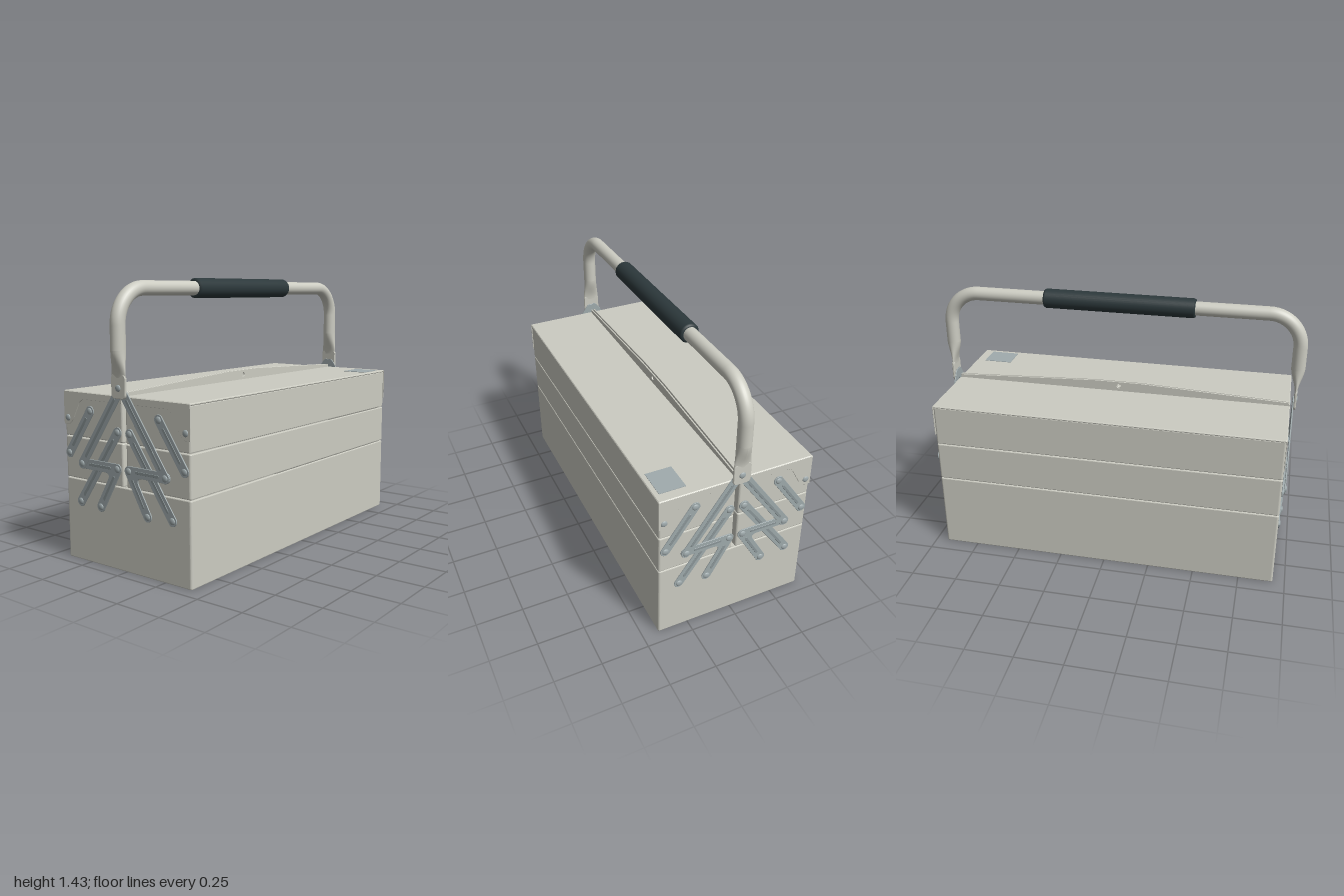
import * as THREE from 'three';

const mat = (color) => new THREE.MeshStandardMaterial({ color });
const paint = mat(0xccccc2), steel = mat(0xa0abad), rubber = mat(0x2c383b), dark = mat(0x8b9698);

function add(parent, name, geometry, material, x = 0, y = 0, z = 0) {
  const m = new THREE.Mesh(geometry, material);
  m.name = name;
  m.position.set(x, y, z);
  parent.add(m);
  return m;
}

function roundedRect(x0, x1, y0, y1, r) {
  const s = new THREE.Shape();
  s.absarc(x1 - r, y1 - r, r, 0, Math.PI / 2);
  s.absarc(x0 + r, y1 - r, r, Math.PI / 2, Math.PI);
  s.absarc(x0 + r, y0 + r, r, Math.PI, Math.PI * 1.5);
  s.absarc(x1 - r, y0 + r, r, Math.PI * 1.5, Math.PI * 2);
  s.closePath();
  return s;
}

// Sheet-metal plate, bevelled on both faces, from z = 0 to z = t
function plate(shape, t, bevel = 0.001) {
  const g = new THREE.ExtrudeGeometry(shape, {
    depth: t - 2 * bevel, bevelThickness: bevel, bevelSize: bevel, bevelOffset: -bevel,
    bevelSegments: 1, curveSegments: 10,
  });
  return g.translate(0, 0, bevel);
}

const mirrored = (shape, side) =>
  new THREE.Shape(shape.getPoints(10).map((p) => new THREE.Vector2(p.x * side, p.y)));

// Capsule outline around the line from a to b
function capsule(a, b, r) {
  const t = Math.atan2(b[1] - a[1], b[0] - a[0]);
  const s = new THREE.Shape();
  s.absarc(b[0], b[1], r, t - Math.PI / 2, t + Math.PI / 2);
  s.absarc(a[0], a[1], r, t + Math.PI / 2, t + Math.PI * 1.5);
  s.closePath();
  return s;
}

// Open tray: rounded wall ring plus a floor
function tray(parent, name, x0, x1, y0, y1) {
  const g = new THREE.Group();
  g.name = name;
  const D = 0.936, w = 0.012, b = 0.005;
  const ring = roundedRect(x0, x1, -D, D, 0.012);
  ring.holes.push(roundedRect(x0 + w, x1 - w, -D + w, D - w, 0.004));
  const wall = new THREE.ExtrudeGeometry(ring, {
    depth: y1 - y0 - 2 * b, bevelThickness: b, bevelSize: b, bevelOffset: -b, bevelSegments: 2, curveSegments: 5,
  });
  add(g, name + 'Wall', wall.rotateX(-Math.PI / 2), paint, 0, y0 + b, 0);
  add(g, name + 'Floor', new THREE.BoxGeometry(x1 - x0 - 0.016, 0.01, 2 * D - 0.016), paint, (x0 + x1) / 2, y0 + 0.006, 0);
  parent.add(g);
}

function rivet(parent, x, y, z, r = 0.017) {
  const g = new THREE.SphereGeometry(r, 16, 6, 0, Math.PI * 2, 0, Math.PI / 2);
  add(parent, 'rivet', g.scale(1, 0.4, 1).rotateX(Math.PI / 2), steel, x, y, z);
}

// Raised stiffening rib, shortened at both ends
function rib(parent, a, b, z, side, cut = 0.05) {
  const d = new THREE.Vector2(b[0] - a[0], b[1] - a[1]).setLength(cut);
  const s = capsule([a[0] + d.x, a[1] + d.y], [b[0] - d.x, b[1] - d.y], 0.007);
  add(parent, 'linkRib', plate(mirrored(s, side), 0.003), dark, 0, 0, z);
}

function link(parent, name, a, b, z, side) {
  add(parent, name, plate(mirrored(capsule(a, b, 0.026), side), 0.006), steel, 0, 0, z);
  rib(parent, a, b, z + 0.005, side);
  for (const p of [a, b]) rivet(parent, p[0] * side, p[1], z + 0.006);
}

// Branched lever joining the long arm, middle tray and base
function crankShape() {
  const r = 0.026, s = new THREE.Shape(), rad = Math.PI / 180;
  s.absarc(0.276, 0.51, r, -90 * rad, 90 * rad);
  s.absarc(0.038, 0.51, r, 90 * rad, 210 * rad);
  s.absarc(0.156, 0.306, r, 210 * rad, 390 * rad);
  s.lineTo(0.103, 0.45);
  s.quadraticCurveTo(0.084, 0.484, 0.125, 0.484);
  s.closePath();
  return s;
}

// Skirt of the lid over the tray end
function flapShape() {
  const s = new THREE.Shape();
  s.moveTo(0.01, 0.864);
  s.lineTo(0.01, 0.83);
  s.lineTo(0.265, 0.83);
  s.quadraticCurveTo(0.295, 0.83, 0.31, 0.8);
  s.lineTo(0.345, 0.735);
  s.quadraticCurveTo(0.365, 0.7, 0.39, 0.695);
  s.lineTo(0.417, 0.695);
  s.lineTo(0.417, 0.864);
  s.closePath();
  return s;
}

// Everything mounted on one end, facing +z
function buildEnd() {
  const end = new THREE.Group();
  end.name = 'endLinkage';
  for (const side of [1, -1]) {
    add(end, 'lidFlap', plate(mirrored(flapShape(), side), 0.005), paint, 0, 0, 0.935);
    rivet(end, 0.389 * side, 0.73, 0.94);
    link(end, 'outerLink', [0.228, 0.775], [0.382, 0.552], 0.937, side);
    link(end, 'innerLink', [0.04, 0.688], [0.306, 0.31], 0.937, side);
    add(end, 'crankLever', plate(mirrored(crankShape(), side), 0.006), steel, 0, 0, 0.944);
    rib(end, [0.038, 0.51], [0.276, 0.51], 0.949, side);
    rib(end, [0.038, 0.51], [0.156, 0.306], 0.949, side);
    rivet(end, 0.038 * side, 0.51, 0.95);
    rivet(end, 0.156 * side, 0.306, 0.95);
    link(end, 'longArm', [0.012, 0.89], [0.276, 0.51], 0.951, side);
  }
  // Handle tube pressed flat towards its foot
  const foot = new THREE.CylinderGeometry(0.037, 0.037, 0.14, 28, 10, true);
  const p = foot.attributes.position;
  for (let i = 0; i < p.count; i++) {
    const k = THREE.MathUtils.smoothstep(0.07 - p.getY(i), 0, 0.14);
    p.setX(i, p.getX(i) * (1 + 0.25 * k));
    p.setZ(i, p.getZ(i) * (1 - 0.82 * k));
  }
  foot.computeVertexNormals();
  add(end, 'handleNeck', foot, paint, 0, 1.02, 0.963);
  add(end, 'handleFoot', plate(roundedRect(-0.047, 0.047, 0.857, 0.975, 0.022), 0.013, 0.003), paint, 0, 0, 0.957);
  rivet(end, 0, 0.908, 0.97);
  return end;
}

function buildHandle(parent) {
  const v = (y, z) => new THREE.Vector3(0, y, z);
  const L = 0.963, T = 1.375, R = 0.17, c = R * 0.45;
  const path = new THREE.CurvePath();
  path.add(new THREE.LineCurve3(v(1.085, L), v(T - R, L)));
  path.add(new THREE.CubicBezierCurve3(v(T - R, L), v(T - c, L), v(T, L - c), v(T, L - R)));
  path.add(new THREE.LineCurve3(v(T, L - R), v(T, R - L)));
  path.add(new THREE.CubicBezierCurve3(v(T, R - L), v(T, c - L), v(T - c, -L), v(T - R, -L)));
  path.add(new THREE.LineCurve3(v(T - R, -L), v(1.085, -L)));
  add(parent, 'handleTube', new THREE.TubeGeometry(path, 140, 0.037, 28), paint);
  const profile = [[0.036, -0.41], [0.047, -0.41], [0.052, -0.4], [0.052, 0.4], [0.047, 0.41], [0.036, 0.41]];
  const grip = new THREE.LatheGeometry(profile.map((q) => new THREE.Vector2(...q)), 32);
  add(parent, 'grip', grip.rotateX(Math.PI / 2), rubber, 0, T, 0);
}

// Lid half: flat panel and the upright centre flange with its lock hole
function buildLid(parent, side) {
  const lid = new THREE.Group();
  lid.name = side > 0 ? 'leftLid' : 'rightLid';
  const panel = plate(roundedRect(-0.204, 0.204, -0.939, 0.939, 0.008), 0.012, 0.004);
  add(lid, 'lidPanel', panel.rotateX(-Math.PI / 2), paint, side * 0.213, 0.855, 0);
  const f = new THREE.Shape();
  [[-0.935, 0.858], [0.935, 0.858], [0.935, 0.884], [0.13, 0.92], [-0.13, 0.92], [-0.935, 0.884]]
    .forEach((q, i) => (i ? f.lineTo(...q) : f.moveTo(...q)));
  f.closePath();
  f.holes.push(new THREE.Path().absarc(0, 0.895, 0.012, 0, Math.PI * 2));
  const flange = plate(f, 0.008).rotateY(Math.PI / 2);
  add(lid, 'lidFlange', flange, paint, side > 0 ? 0.004 : -0.012, 0, 0);
  parent.add(lid);
}

export function createModel() {
  const model = new THREE.Group();
  model.name = 'toolbox';

  tray(model, 'base', -0.415, 0.415, 0, 0.42);
  for (const side of [1, -1]) {
    const x = side > 0 ? [0.009, 0.415] : [-0.415, -0.009];
    const label = side > 0 ? 'left' : 'right';
    tray(model, label + 'MiddleTray', ...x, 0.424, 0.635);
    tray(model, label + 'UpperTray', ...x, 0.639, 0.858);
    buildLid(model, side);
  }
  add(model, 'labelPlate', new THREE.BoxGeometry(0.14, 0.003, 0.16), steel, 0.32, 0.868, -0.805);

  // Matching linkage at both ends
  const front = buildEnd(), back = buildEnd();
  back.rotation.y = Math.PI;
  model.add(front, back);
  buildHandle(model);
  return model;
}
